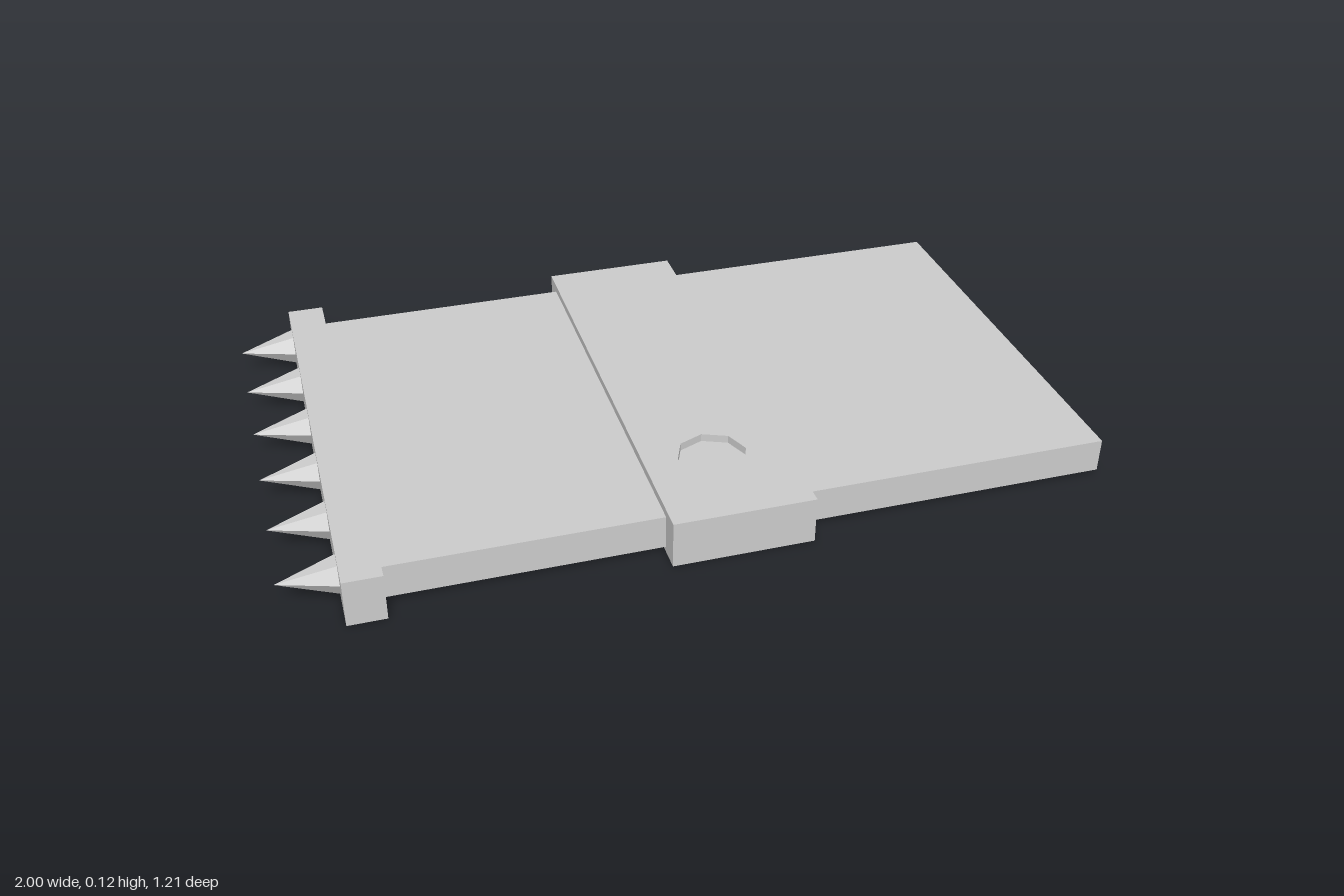
import * as THREE from 'three';

export function createModel() {
  const group = new THREE.Group();
  const material = new THREE.MeshStandardMaterial({ color: 0xcccccc, flatShading: true });

  function add(name, geometry, x, y, z) {
    const mesh = new THREE.Mesh(geometry, material);
    mesh.name = name;
    mesh.position.set(x, y, z);
    group.add(mesh);
    return mesh;
  }

  // Box given by its limits along x and y, centred on z
  function slab(name, x0, x1, y0, y1, depth) {
    add(name, new THREE.BoxGeometry(x1 - x0, y1 - y0, depth), (x0 + x1) / 2, (y0 + y1) / 2, 0);
  }

  const plateTop = 0.1, bandTop = 0.12, width = 1.214;

  // Main plate and the bar that carries the spikes
  slab('plate', -0.8, 1, 0.014, plateTop, 1.1);
  slab('spikeBar', -0.86, -0.768, 0, bandTop, width);

  // Raised band: solid lower part and a thin top layer with an octagonal recess
  const x0 = -0.115, x1 = 0.232;
  slab('band', x0, x1, 0, plateTop, width);

  const outline = new THREE.Shape();
  outline.moveTo(x0, -width / 2);
  outline.lineTo(x1, -width / 2);
  outline.lineTo(x1, width / 2);
  outline.lineTo(x0, width / 2);
  outline.closePath();
  const corners = [];
  for (let i = 0; i < 8; i++) {
    const a = (-i / 8) * Math.PI * 2;
    corners.push(new THREE.Vector2(0.055 + 0.086 * Math.cos(a), -0.365 + 0.086 * Math.sin(a)));
  }
  outline.holes.push(new THREE.Path(corners));
  const layer = new THREE.ExtrudeGeometry(outline, { depth: bandTop - plateTop, bevelEnabled: false });
  layer.rotateX(-Math.PI / 2);
  add('bandTopWithRecess', layer, 0, plateTop, 0);

  // Row of six-sided spikes pointing to -x
  const spike = new THREE.ConeGeometry(0.045, 0.14, 6);
  spike.rotateZ(Math.PI / 2);
  for (let i = 0; i < 6; i++) {
    add('spike' + (i + 1), spike, -0.93, 0.064, -0.513 + i * 0.203);
  }

  return group;
}
